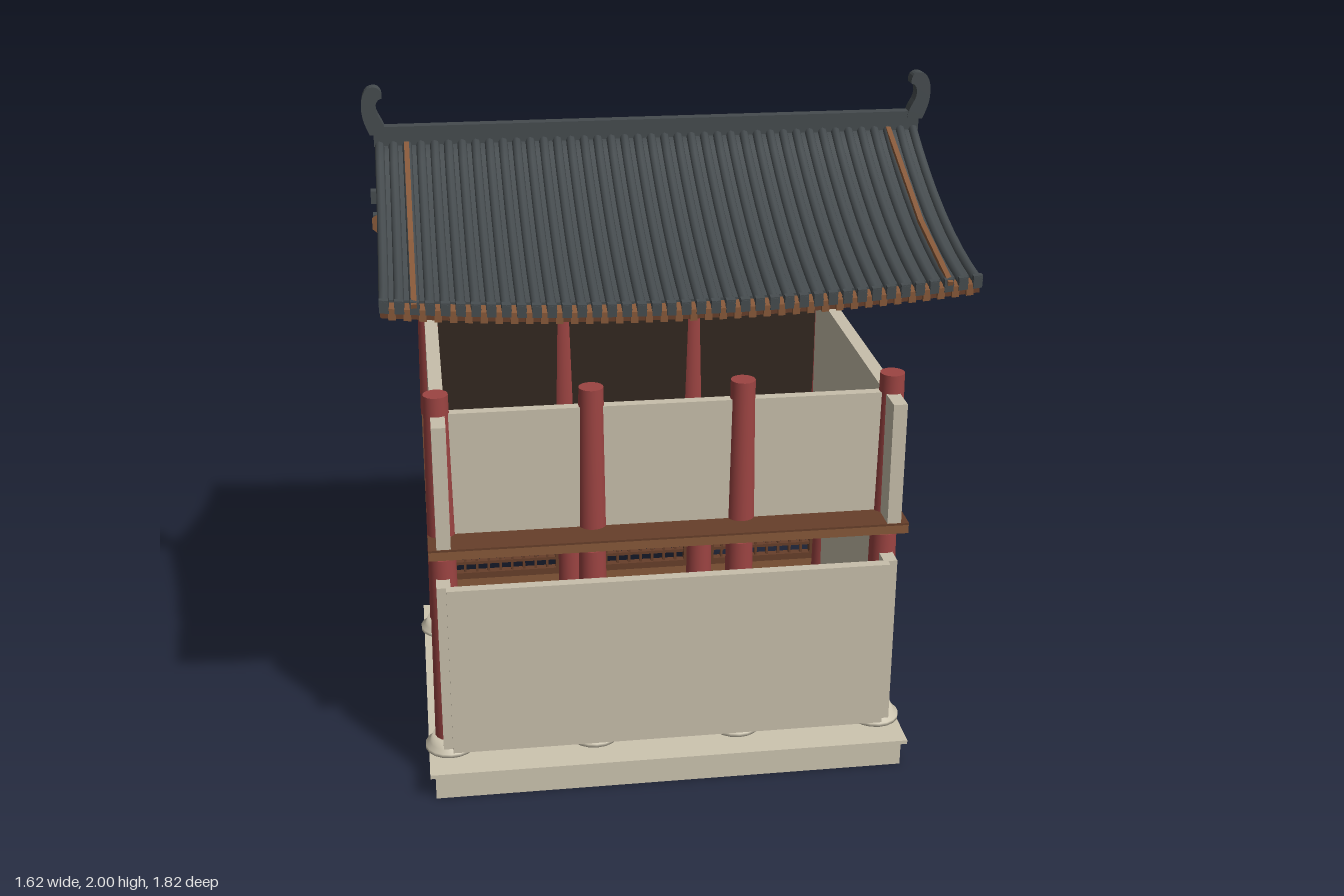
import * as THREE from 'three';
import { mergeGeometries } from 'three/addons/utils/BufferGeometryUtils.js';

const mat = (name, color, side = THREE.FrontSide) => {
  const m = new THREE.MeshStandardMaterial({ color, side });
  m.name = name;
  return m;
};
const box = (w, h, d, x, y, z) => new THREE.BoxGeometry(w, h, d).translate(x, y, z);
const COLS = [-0.645, -0.215, 0.215, 0.645];

// Roof surface: u runs from back eave (-1) over the ridge (0) to front eave (1)
const roofY = (u, x) => {
  const t = Math.abs(u);
  return 1.835 - 0.438 * t + 0.188 * t * t - 0.04 * t * t * (1 - (x / 0.78) ** 2);
};
function warpToRoof(geo) {
  const p = geo.attributes.position;
  for (let i = 0; i < p.count; i++) {
    const x = p.getX(i), u = p.getZ(i);
    p.setXYZ(i, x, p.getY(i) + roofY(u, x), 0.205 + 0.695 * u);
  }
  geo.computeVertexNormals();
  return geo;
}

// Bracket arm along x, cut away under both ends and notched on top
function armGeometry(half, h, depth) {
  const s = new THREE.Shape();
  s.moveTo(-half * 0.5, 0);
  s.lineTo(half * 0.5, 0);
  s.quadraticCurveTo(half * 0.85, h * 0.1, half, h * 0.45);
  s.lineTo(half, h * 0.8);
  s.lineTo(half * 0.85, h);
  s.lineTo(-half * 0.85, h);
  s.lineTo(-half, h * 0.8);
  s.lineTo(-half, h * 0.45);
  s.quadraticCurveTo(-half * 0.85, h * 0.1, -half * 0.5, 0);
  return new THREE.ExtrudeGeometry(s, { depth, bevelEnabled: false, curveSegments: 4 })
    .translate(0, 0, -depth / 2);
}

export function createModel() {
  const model = new THREE.Group();
  const plaster = mat('plaster', 0xc8bfab);
  const stone = mat('stone', 0xcdc5b0);
  const red = mat('redLacquer', 0x9c4442);
  const wood = mat('wood', 0x865839);
  const beam = mat('darkWood', 0x673f2a);
  const panel = mat('blackenedWood', 0x32271f);
  const slate = mat('slate', 0x454b4e);
  const cloth = mat('cloth', 0xb84c3c, THREE.DoubleSide);

  const add = (name, material, geos) => {
    const list = [].concat(geos);
    const geo = list.length > 1
      ? mergeGeometries(list.map(g => (g.index ? g.toNonIndexed() : g)))
      : list[0];
    const mesh = new THREE.Mesh(geo, material);
    mesh.name = name;
    model.add(mesh);
    return mesh;
  };

  // Platform, cap slab and back step
  add('platform', stone, box(1.39, 0.08, 1.0, 0, 0.04, 0.203));
  add('platformCap', stone, box(1.42, 0.012, 1.03, 0, 0.085, 0.205));
  add('step', stone, box(0.6, 0.04, 0.135, 0, 0.02, -0.363));

  // Columns and stone footings
  const column = (x, y0, y1, z, r0, r1) =>
    new THREE.CylinderGeometry(r1, r0, y1 - y0, 18).translate(x, (y0 + y1) / 2, z);
  const footProfile = [[0, 0], [0.075, 0], [0.075, 0.012], [0.062, 0.02], [0.052, 0.043], [0, 0.043]]
    .map(p => new THREE.Vector2(...p));
  const foot = (x, z) => new THREE.LatheGeometry(footProfile, 18).translate(x, 0.09, z);
  add('footings', stone, COLS.flatMap(x => [foot(x, 0.562), foot(x, -0.152)]));
  add('lowerColumns', red, COLS.flatMap(x =>
    [0.562, -0.152].map(z => column(x, 0.13, 0.72, z, 0.045, 0.039))));
  add('upperFrontColumns', red, COLS.map(x => column(x, 0.795, 1.22, 0.57, 0.041, 0.035)));
  add('upperBackColumns', red, COLS.map(x => column(x, 0.795, 1.22, -0.33, 0.043, 0.037)));

  // Plaster walls
  add('lowerFrontWall', plaster, box(1.28, 0.53, 0.03, 0, 0.397, 0.66));
  add('lowerSideWalls', plaster, [-1, 1].map(s => box(0.04, 0.53, 0.89, s * 0.647, 0.397, 0.207)));
  add('upperFrontWall', plaster, box(1.24, 0.37, 0.03, 0, 0.98, 0.57));
  add('upperSideWalls', plaster, [-1, 1].map(s => box(0.04, 0.37, 0.98, s * 0.642, 0.98, 0.192)));

  // Upper floor and its cross beam
  add('upperFloor', wood, box(1.37, 0.03, 1.04, 0, 0.78, 0.163));
  add('floorEdge', beam, box(1.37, 0.006, 1.05, 0, 0.795, 0.16));
  add('crossBeam', wood, box(1.37, 0.045, 0.034, 0, 0.745, 0.205));

  // Lattice screens between the back columns
  function lattice(name, y0, y1, z) {
    const bars = [];
    for (let bay = 0; bay < 3; bay++) {
      const cx = (bay - 1) * 0.43, w = 0.35, h = y1 - y0, cy = (y0 + y1) / 2;
      for (const s of [-1, 1]) {
        bars.push(box(0.022, h, 0.026, cx + s * w / 2, cy, z));
        bars.push(box(w, 0.022, 0.026, cx, cy + s * (h / 2 - 0.011), z));
      }
      for (let i = 1; i < 9; i++) bars.push(box(0.008, h, 0.012, cx - w / 2 + w * i / 9, cy, z));
      for (let i = 1; i < 7; i++) bars.push(box(w, 0.01, 0.018, cx, y0 + h * i / 7, z));
    }
    add(name, beam, bars);
  }
  lattice('lowerLattice', 0.27, 0.66, -0.155);
  lattice('upperLattice', 0.8, 1.17, -0.322);
  add('lowerDado', wood, box(1.26, 0.14, 0.025, 0, 0.2, -0.155));
  add('upperBackPanel', panel, box(1.24, 0.36, 0.012, 0, 0.98, -0.303));

  // Wavy cloth awning over the entrance
  const awning = new THREE.PlaneGeometry(1.22, 1, 48, 5);
  const ap = awning.attributes.position;
  for (let i = 0; i < ap.count; i++) {
    const x = ap.getX(i), t = 0.5 - ap.getY(i);
    const wave = 0.016 * t * Math.sin(x * 20);
    ap.setXYZ(i, x, 0.498 - 0.045 * t + wave, -0.243 - 0.18 * t);
  }
  awning.computeVertexNormals();
  add('awning', cloth, awning);

  // Poles reaching out from the back
  const pole = (y, r) => new THREE.CylinderGeometry(r, r, 0.61, 8)
    .rotateX(Math.PI / 2).translate(0, y, -0.605);
  add('poles', beam, [pole(0.965, 0.011), pole(0.86, 0.009)]);

  // Bracket sets on the back columns
  COLS.forEach(x => {
    const z = -0.33;
    const parts = [
      new THREE.CylinderGeometry(0.08, 0.06, 0.035, 4).rotateY(Math.PI / 4).translate(0, 1.237, 0),
      box(0.114, 0.04, 0.1, 0, 1.272, 0),
      armGeometry(0.11, 0.075, 0.045).translate(0, 1.293, 0),
      armGeometry(0.128, 0.072, 0.045).rotateY(Math.PI / 2).translate(0, 1.295, 0),
      box(0.06, 0.04, 0.06, 0, 1.385, 0),
      armGeometry(0.165, 0.077, 0.036).translate(0, 1.4, 0),
      box(0.05, 0.04, 0.036, 0, 1.495, 0),
      armGeometry(0.13, 0.035, 0.05).translate(0, 1.368, -0.11),
    ];
    for (const s of [-1, 1]) {
      parts.push(box(0.036, 0.036, 0.05, s * 0.075, 1.385, 0));
      parts.push(box(0.045, 0.022, 0.036, s * 0.125, 1.506, 0));
      parts.push(box(0.03, 0.02, 0.03, s * 0.125, 1.486, 0));
    }
    add('bracketSet', wood, parts.map(g => g.translate(x, 0, z)));
    add('bracketBeams', slate, [
      box(0.33, 0.04, 0.036, x, 1.537, z),
      box(0.33, 0.04, 0.034, x, 1.42, -0.472),
    ]);
  });

  // Curved roof sheet with rows of round tiles
  add('roofSheet', slate, warpToRoof(new THREE.BoxGeometry(1.55, 0.02, 1.88, 16, 1, 24)));
  const N = 41, pitch = 1.53 / (N - 1), tiles = [], rafters = [];
  for (let i = 0; i < N; i++) {
    const x = -0.765 + i * pitch;
    tiles.push(warpToRoof(new THREE.CylinderGeometry(0.013, 0.013, 2, 8, 16)
      .rotateX(Math.PI / 2).translate(x, 0.01, 0)));
    for (const s of [-1, 1]) {
      tiles.push(warpToRoof(box(0.024, 0.034, 0.02, x, 0.008, s * 0.988)));
      if (i < N - 1)
        rafters.push(warpToRoof(box(0.019, 0.03, 0.1, x + pitch / 2, -0.012, s * 0.945)));
    }
  }
  add('roofTiles', slate, tiles);
  add('rafters', wood, rafters);
  add('eaveBoards', beam, [-1, 1].map(s => warpToRoof(
    new THREE.BoxGeometry(1.55, 0.014, 0.06, 20, 1, 1).translate(0, -0.02, s * 0.95))));

  // Gable walls under the roof ends
  const gable = new THREE.Shape();
  gable.moveTo(0.82, 1.555);
  gable.lineTo(-0.41, 1.555);
  for (let i = -8; i <= 8; i++) {
    const u = i * 0.11;
    gable.lineTo(0.205 + 0.695 * u, roofY(u, 0.72) - 0.008);
  }
  const gableGeo = new THREE.ExtrudeGeometry(gable, { depth: 0.02, bevelEnabled: false });
  gableGeo.rotateY(-Math.PI / 2);
  add('gableWalls', plaster, [0.74, -0.72].map(x => gableGeo.clone().translate(x, 0, 0)));

  // Straight wooden battens laid over the slopes
  const batten = (x, s, z0, y0, z1, y1) => {
    const len = Math.hypot(z1 - z0, y1 - y0);
    return new THREE.BoxGeometry(0.014, 0.012, len).rotateX(s * Math.atan2(y0 - y1, z1 - z0))
      .translate(x, (y0 + y1) / 2, 0.205 + s * (z0 + z1) / 2);
  };
  add('roofBattens', wood, [-0.69, 0.69].flatMap(x => [-1, 1].flatMap(s => [
    batten(x, s, 0.02, 1.84, 0.4, 1.672), batten(x, s, 0.4, 1.672, 0.7, 1.592)])));

  // Ridge beam and curled end ornaments
  add('ridge', slate, box(1.56, 0.055, 0.036, 0, 1.86, 0.205));
  const horn = new THREE.Shape();
  horn.moveTo(0.745, 1.865);
  horn.lineTo(0.79, 1.865);
  horn.bezierCurveTo(0.8, 1.89, 0.812, 1.91, 0.81, 1.95);
  horn.bezierCurveTo(0.808, 1.985, 0.795, 2.0, 0.775, 2.0);
  horn.bezierCurveTo(0.758, 2.0, 0.75, 1.985, 0.753, 1.968);
  horn.bezierCurveTo(0.772, 1.965, 0.775, 1.94, 0.765, 1.92);
  horn.bezierCurveTo(0.757, 1.905, 0.747, 1.89, 0.745, 1.865);
  const hornGeo = new THREE.ExtrudeGeometry(horn, { depth: 0.04, bevelEnabled: false, curveSegments: 6 })
    .translate(0, 0, -0.02);
  add('ridgeOrnaments', slate, [
    hornGeo.clone().translate(0, 0, 0.205),
    hornGeo.clone().rotateY(Math.PI).translate(0, 0, 0.205),
  ]);
  return model;
}
